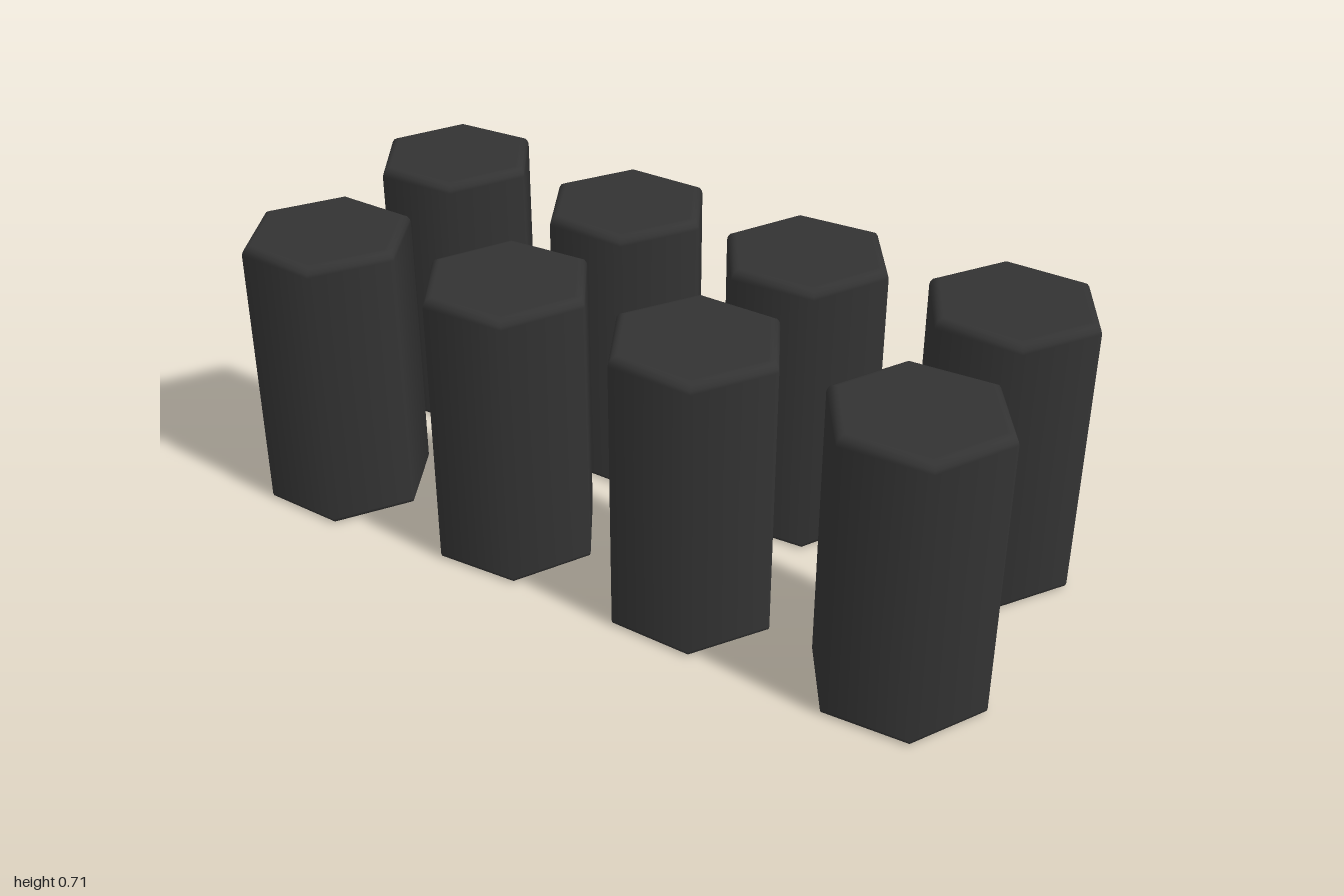
import * as THREE from 'three';

// Eight hexagonal posts in two rows, each with softly rounded rims and a slight twist.
export function createModel() {
  const model = new THREE.Group();
  model.name = 'hexagonalPosts';
  const material = new THREE.MeshStandardMaterial({ color: 0x333333 });

  // Half profile of a post, from the bottom centre to the top centre
  const R = 0.211, H = 0.715;
  const profile = [
    [0, 0], [R - 0.016, 0], [R - 0.009, 0.001], [R - 0.002, 0.006], [R, 0.014],
    [R, H - 0.022], [R - 0.002, H - 0.014], [R - 0.008, H - 0.005],
    [R - 0.018, H], [R - 0.026, H], [0, H],
  ].map(([r, y]) => new THREE.Vector2(r, y));

  // Six sides, with corners pointing along x
  const post = new THREE.LatheGeometry(profile, 6, Math.PI / 2);

  // x, z, twist
  const backRow = [
    [-0.79, -0.277, 0.03], [-0.247, -0.256, -0.04],
    [0.26, -0.244, 0.035], [0.773, -0.265, -0.05],
  ];
  const frontRow = [
    [-0.778, 0.26, -0.05], [-0.265, 0.238, 0.03],
    [0.246, 0.251, -0.045], [0.787, 0.271, 0.03],
  ];

  const addRow = (places, name) => places.forEach(([x, z, twist], i) => {
    const mesh = new THREE.Mesh(post, material);
    mesh.name = `${name}${i + 1}`;
    mesh.position.set(x, 0, z);
    mesh.rotation.y = twist;
    model.add(mesh);
  });
  addRow(backRow, 'backPost');
  addRow(frontRow, 'frontPost');

  return model;
}
